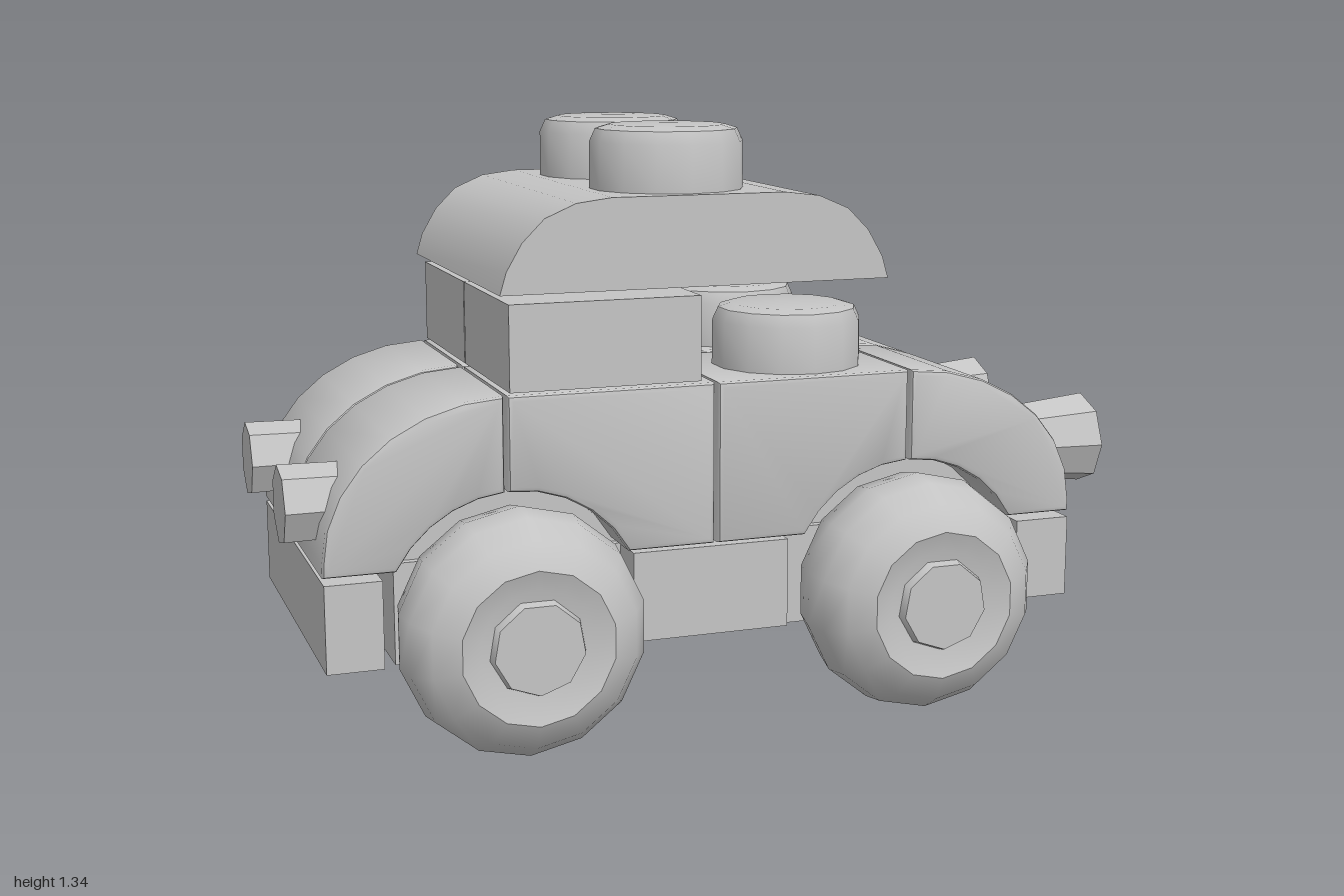
import * as THREE from 'three';
import { toCreasedNormals } from 'three/addons/utils/BufferGeometryUtils.js';

const MID = -0.02; // centre line of the car across its width
const ARCH = 0.295; // wheel arch radius
const WHEEL_Y = 0.28;
const AXLES = [-0.495, 0.445];

export function createModel() {
  const grey = new THREE.MeshStandardMaterial({ color: 0xc4c4c4 });
  grey.name = 'plain grey';
  const model = new THREE.Group();
  const car = new THREE.Group();
  car.name = 'car';
  car.rotation.y = 0.53; // the car stands at an angle
  model.add(car);

  function add(name, geometry, x = 0, y = 0, z = 0) {
    const mesh = new THREE.Mesh(toCreasedNormals(geometry, 0.75), grey);
    mesh.name = name;
    mesh.position.set(x, y, z);
    car.add(mesh);
    return mesh;
  }

  // box given by its limits
  function box(name, x0, x1, y0, y1, z0, z1) {
    return add(name, new THREE.BoxGeometry(x1 - x0, y1 - y0, z1 - z0),
      (x0 + x1) / 2, (y0 + y1) / 2, (z0 + z1) / 2);
  }

  // side profile extruded across the car from z0 to z1
  function extrude(name, points, z0, z1, bevel) {
    const geometry = new THREE.ExtrudeGeometry(new THREE.Shape(points), {
      depth: z1 - z0 - 2 * bevel, bevelEnabled: bevel > 0, bevelSize: bevel,
      bevelThickness: bevel, bevelOffset: -bevel, bevelSegments: 2,
    });
    return add(name, geometry, 0, 0, z0 + bevel);
  }

  const v = (x, y) => new THREE.Vector2(x, y);

  // points on an ellipse from angle a to angle b
  function arc(cx, cy, rx, ry, a, b, n) {
    return Array.from({ length: n + 1 }, (_, i) => {
      const t = a + (b - a) * i / n;
      return v(cx + rx * Math.cos(t), cy + ry * Math.sin(t));
    });
  }

  // wheel arch from the body's lower edge to the seam at x
  function archTo(axle, seam, side) {
    const low = Math.asin((0.42 - WHEEL_Y) / ARCH);
    const start = side > 0 ? low : Math.PI - low;
    return arc(axle, WHEEL_Y, ARCH, ARCH, start, Math.acos((seam - axle) / ARCH), 5);
  }

  const halves = [[MID - 0.405, MID - 0.004], [MID + 0.004, MID + 0.405]];
  const ends = [
    { side: -1, seam: -0.515, tip: -0.912, axle: AXLES[0] },
    { side: 1, seam: 0.445, tip: 0.865, axle: AXLES[1] },
  ];

  // body: rounded fenders and middle blocks, in two halves
  for (const [z0, z1] of halves) {
    for (const { side, seam, tip, axle } of ends) {
      const fender = [
        ...arc(seam, 0.45, tip - seam, 0.335, Math.PI / 2, 0, 7),
        v(tip, 0.42),
        ...archTo(axle, seam, side),
      ];
      extrude('fender', fender, z0, z1, 0.012);
      const inner = seam - side * 0.008;
      const middle = -0.03 + side * 0.004;
      const block = [
        v(middle, 0.42), v(middle, 0.785), v(inner, 0.785),
        ...archTo(axle, inner, -side).reverse(),
      ];
      extrude('bodyBlock', block, z0, z1, 0.012);
    }
  }

  // cabin of two blocks
  for (const side of [-1, 1]) {
    const edges = [MID + side * 0.003, MID + side * 0.395].sort((a, b) => a - b);
    box('cabin', -0.5, -0.065, 0.79, 0.98, ...edges);
  }

  // chassis: end decks, lower middle block and wheel bay core
  box('chassisDeck', -0.74, -0.22, 0.18, 0.41, MID - 0.29, MID + 0.29);
  box('chassisDeck', 0.15, 0.71, 0.18, 0.41, MID - 0.29, MID + 0.29);
  box('chassisCentre', -0.22, 0.15, 0.205, 0.41, MID - 0.385, MID + 0.385);
  box('chassisCore', -0.8, 0.75, 0.4, 0.6, MID - 0.27, MID + 0.27);

  // bumpers
  box('bumper', -0.91, -0.785, 0.21, 0.405, MID - 0.4, MID + 0.4);
  box('bumper', 0.73, 0.865, 0.215, 0.405, MID - 0.4, MID + 0.4);

  // roof with rounded, sloping ends
  const roofEnd = [v(0.45, 1), v(0.435, 1.05), v(0.4, 1.11), v(0.35, 1.16), v(0.28, 1.19), v(0.2, 1.2)];
  const roof = [
    ...roofEnd.map((p) => v(p.x - 0.07, p.y)),
    ...roofEnd.map((p) => v(-p.x - 0.07, p.y)).reverse(),
  ];
  extrude('roof', roof, MID - 0.4, MID + 0.4, 0);

  // round studs on roof and hood
  function stud(name, x, y, z) {
    const profile = [v(0, 0), v(0.174, 0), v(0.173, 0.11), v(0.16, 0.138), v(0.13, 0.147), v(0, 0.149)];
    add(name, new THREE.LatheGeometry(profile, 14), x, y, z);
  }
  for (const side of [-1, 1]) {
    stud('roofStud', -0.078, 1.195, MID + side * 0.2);
    stud('hoodStud', 0.217, 0.78, MID + side * 0.2);
  }

  // lamps at both ends
  for (const [front, rear] of [[-0.265, -0.23], [0.28, 0.25]]) {
    const headlight = add('headlight', new THREE.CylinderGeometry(0.108, 0.09, 0.18, 8), 0.87, 0.57, MID + front);
    headlight.rotation.z = -Math.PI / 2;
    const tailLight = add('tailLight', new THREE.CylinderGeometry(0.088, 0.085, 0.18, 7), -0.885, 0.55, MID + rear);
    tailLight.rotation.z = Math.PI / 2;
  }

  // wheels: broad rounded tyre, shallow rim and hub, with axle stub
  const tyre = [
    v(0, -0.115), v(0.14, -0.13), v(0.21, -0.125), v(0.258, -0.08), v(0.274, 0),
    v(0.264, 0.065), v(0.228, 0.12), v(0.17, 0.15), v(0.125, 0.135), v(0, 0.13),
  ];
  for (const x of AXLES) {
    for (const side of [-1, 1]) {
      const z = MID + side * 0.44;
      const wheel = add('tyre', new THREE.LatheGeometry(tyre, 14), x, WHEEL_Y, z);
      wheel.rotation.x = side * Math.PI / 2;
      const hub = add('hub', new THREE.CylinderGeometry(0.1, 0.115, 0.05, 9), x, WHEEL_Y, z + side * 0.13);
      hub.rotation.x = side * Math.PI / 2;
      const axle = add('axle', new THREE.CylinderGeometry(0.05, 0.05, 0.1, 8), x, WHEEL_Y, z - side * 0.15);
      axle.rotation.x = Math.PI / 2;
    }
  }

  return model;
}
